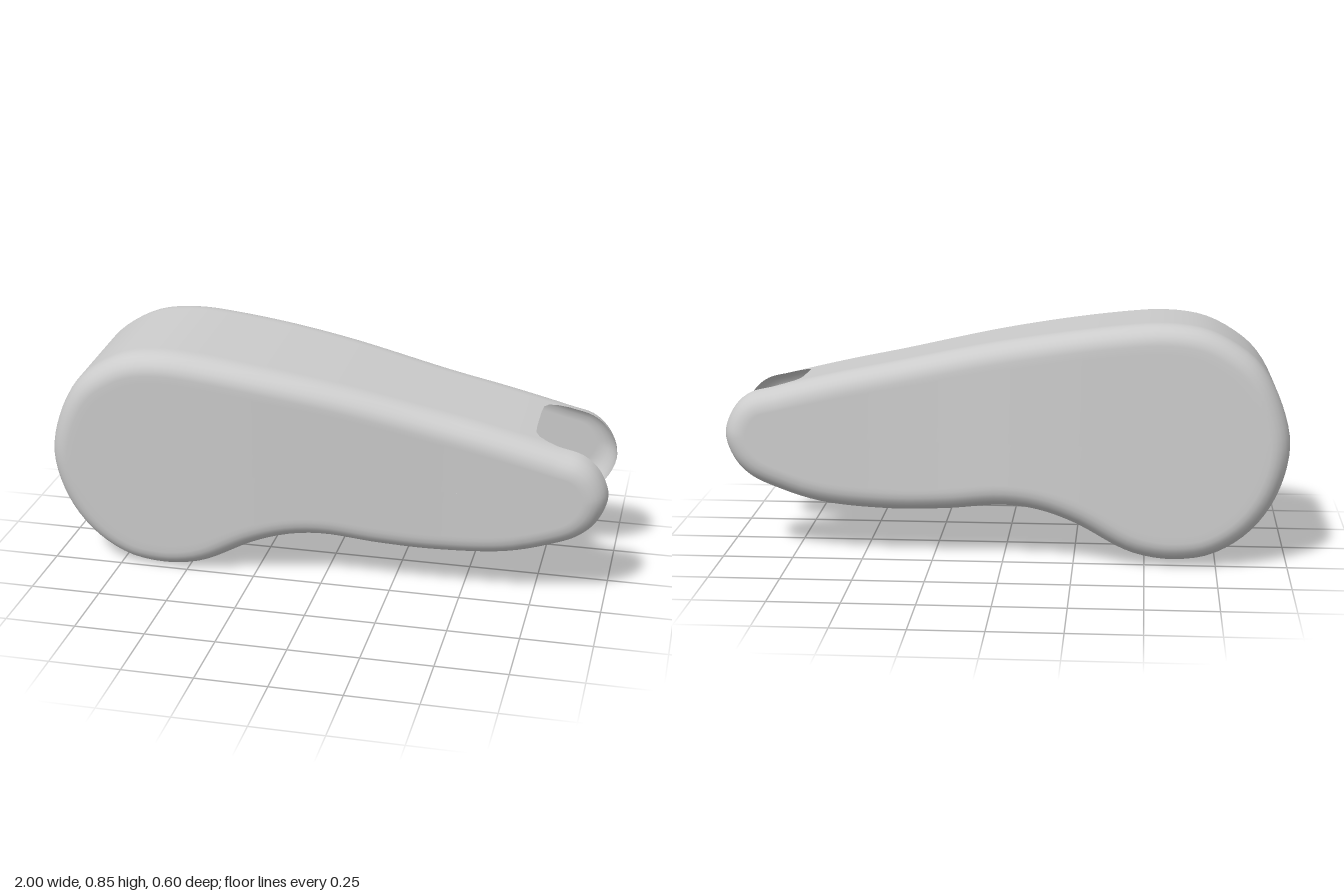
import * as THREE from 'three';

// Side outline, counter-clockwise from the upper corner of the mouth
const OUTLINE = [
  [0.82, 0.595], [0.6, 0.648], [0.4, 0.69], [0, 0.775], [-0.4, 0.834], [-0.57, 0.845],
  [-0.7, 0.828], [-0.8, 0.782], [-0.89, 0.71], [-0.96, 0.59], [-1, 0.42], [-0.955, 0.24],
  [-0.86, 0.11], [-0.73, 0.03], [-0.6, 0.01], [-0.5, 0.02], [-0.42, 0.045], [-0.25, 0.135],
  [-0.12, 0.178], [0, 0.19], [0.2, 0.17], [0.4, 0.162], [0.65, 0.182], [0.8, 0.225],
  [0.91, 0.275], [0.97, 0.34], [0.998, 0.43], [0.965, 0.52], [0.91, 0.57],
].map(([x, y]) => new THREE.Vector3(x, y, 0));

const RIM = 0.08;      // depth of the rounded rim across the width
const INSET = 0.07;    // inset of the flat side from the outline
const KEPT = 110;      // columns around the closed part of the edge band
const COLS = 146;      // all columns, including the two prongs
const MOUTH_X = 0.73;

// The shell narrows and drifts slightly to the front towards its open end
const halfWidth = (x) => 0.283 - 0.038 * THREE.MathUtils.smoothstep(x, -0.3, 0.5);
const midZ = (x) => 0.006 + 0.016 * x;

// Rows from the front face centre line, over the rim, to the middle of the band
function halfRows() {
  const rows = [1, 0.75, 0.5, 0.25, 0.08].map((fill) => ({ fill, inset: INSET, drop: 0, band: 1 }));
  for (let k = 0; k <= 6; k++) {
    const a = (k / 6) * Math.PI / 2;
    rows.push({ fill: 0, inset: INSET * (1 - Math.sin(a)), drop: RIM * (1 - Math.cos(a)), band: 1 });
  }
  for (const band of [0.93, 0.82, 0.65, 0.35]) rows.push({ fill: 0, inset: 0, drop: RIM, band });
  return rows;
}

function shellGeometry() {
  const curve = new THREE.CatmullRomCurve3(OUTLINE, true, 'centripetal');
  curve.arcLengthDivisions = 600;

  // Where the underside reaches the mouth
  let uEnd = 0.6;
  while (curve.getPointAt(uEnd).x < MOUTH_X) uEnd += 0.001;

  const front = halfRows().map((r) => ({ ...r, side: 1 }));
  const back = front.map((r) => ({ ...r, side: -1 })).reverse();
  const rows = [...front, { fill: 0, inset: 0, drop: RIM, band: 0, side: 1 }, ...back];

  const positions = [];
  for (const r of rows) {
    // Pulls the band back between its edges, giving the mouth rounded upper corners
    const pull = 0.019 * (1 - Math.pow(r.band, 8));
    for (let i = 0; i < COLS; i++) {
      let u = i < KEPT ? (uEnd * i) / KEPT : uEnd + ((1 - uEnd) * (i - KEPT)) / (COLS - KEPT);
      if (i < 8) u += pull * (1 - i / 8);
      const p = curve.getPointAt(u);
      const t = curve.getTangentAt(u);
      let x = p.x - t.y * r.inset;
      let y = p.y + t.x * r.inset;
      // Side faces close towards a straight spine
      x = THREE.MathUtils.lerp(x, THREE.MathUtils.clamp(x, -0.55, 0.78), r.fill);
      y = THREE.MathUtils.lerp(y, 0.42, r.fill);
      const z = midZ(x) + r.side * (halfWidth(x) - r.drop) * r.band;
      positions.push(x, y, z);
    }
  }

  const index = [];
  for (let j = 0; j < rows.length - 1; j++) {
    const inBand = rows[j].band < 1 || rows[j + 1].band < 1;
    // The band stops at the mouth, leaving two prongs
    const last = inBand ? KEPT : COLS;
    for (let i = 0; i < last; i++) {
      const n = (i + 1) % COLS;
      const a = j * COLS + i, b = j * COLS + n;
      const c = a + COLS, d = b + COLS;
      index.push(a, c, b, b, c, d);
    }
  }

  const geometry = new THREE.BufferGeometry();
  geometry.setAttribute('position', new THREE.Float32BufferAttribute(positions, 3));
  geometry.setIndex(index);
  // Slight roll about the long axis
  geometry.translate(0, -0.43, 0).rotateX(0.047).translate(0, 0.43, 0);
  geometry.computeVertexNormals();
  return geometry;
}

export function createModel() {
  const group = new THREE.Group();
  group.name = 'hollowCover';
  const material = new THREE.MeshStandardMaterial({ color: 0xcccccc, side: THREE.DoubleSide });
  const shell = new THREE.Mesh(shellGeometry(), material);
  shell.name = 'shell';
  group.add(shell);
  return group;
}
